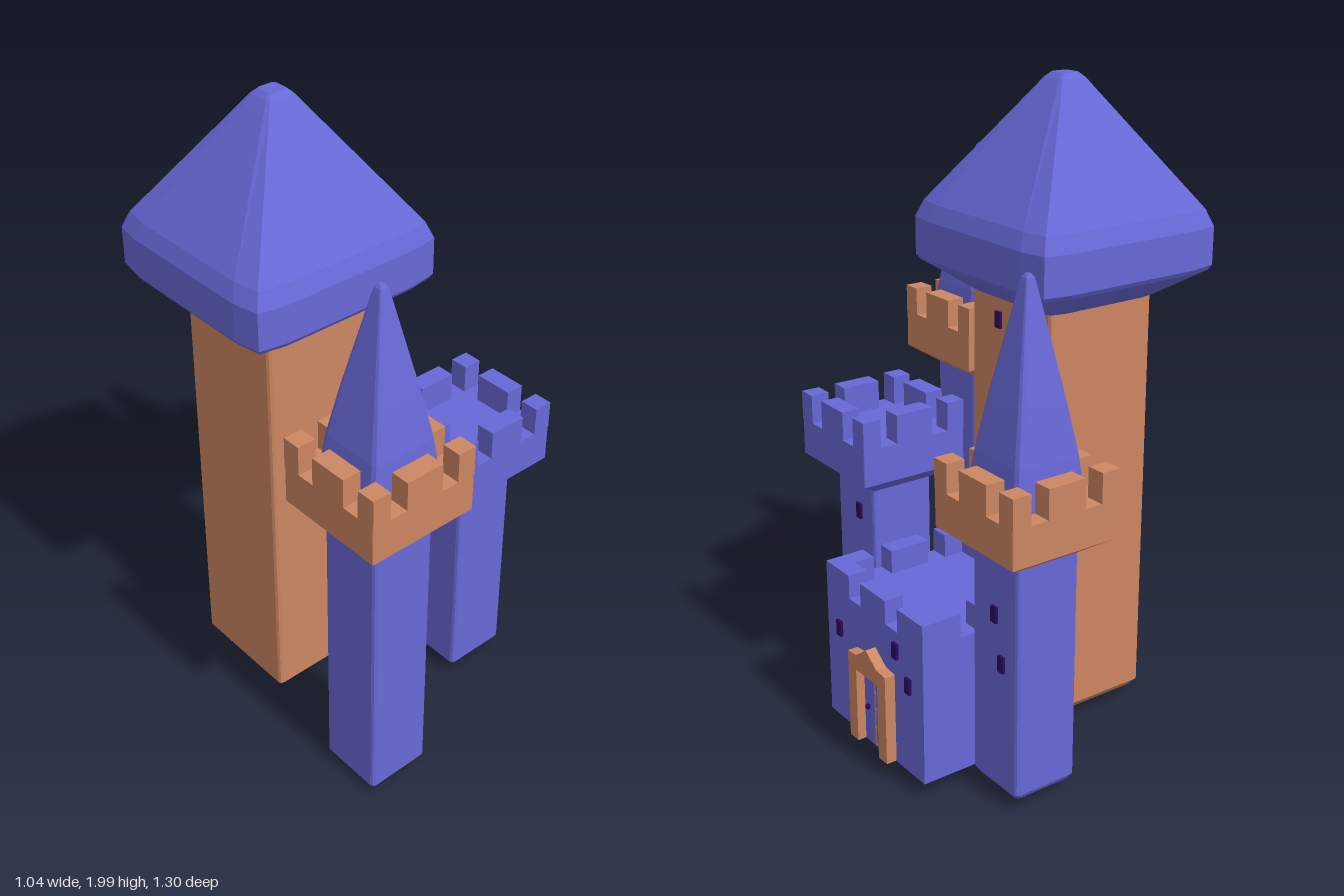
import * as THREE from 'three';

const paint = (color) => new THREE.MeshStandardMaterial({ color, flatShading: true });
const blue = paint(0x6868d8);
const orange = paint(0xcc8662);
const dark = paint(0x2a0a5c);

// Square with softened corners, lofted through rings of [y, half width, corner cut, corner pull-in]
function loft(rings) {
  const pos = [];
  const index = [];
  const n = 12;
  for (const [y, h, c = 0.012, k = c * 0.3] of rings) {
    for (let q = 0; q < 4; q++) {
      for (const [a, b] of [[h, h - c], [h - k, h - k], [h - c, h]]) {
        const [u, v] = [[a, b], [-b, a], [-a, -b], [b, -a]][q];
        pos.push(u, y, -v);
      }
    }
  }
  const last = (rings.length - 1) * n;
  for (let i = 0; i < n; i++) {
    const j = (i + 1) % n;
    for (let r = 0; r < last; r += n) {
      index.push(r + i, r + j, r + n + j, r + i, r + n + j, r + n + i);
    }
    if (i > 0 && i < n - 1) index.push(0, j, i, last, last + i, last + j);
  }
  const g = new THREE.BufferGeometry();
  g.setAttribute('position', new THREE.Float32BufferAttribute(pos, 3));
  g.setIndex(index);
  const flat = g.toNonIndexed();
  flat.computeVertexNormals();
  return flat;
}

function add(parent, name, geometry, material, x = 0, y = 0, z = 0) {
  const mesh = new THREE.Mesh(geometry, material);
  mesh.name = name;
  mesh.position.set(x, y, z);
  parent.add(mesh);
  return mesh;
}

function box(parent, name, material, w, h, d, x, y, z) {
  return add(parent, name, new THREE.BoxGeometry(w, h, d), material, x, y, z);
}

// Ring of merlons: an L at each corner and one block in the middle of each side
function battlements(parent, material, half, corner, middle, thick, y0, y1) {
  const ring = new THREE.Group();
  ring.name = 'battlements';
  parent.add(ring);
  const h = y1 - y0;
  const y = (y0 + y1) / 2;
  for (let i = 0; i < 4; i++) {
    const side = new THREE.Group();
    side.name = 'battlementSide';
    side.rotation.y = i * Math.PI / 2;
    ring.add(side);
    const z = half - thick / 2;
    box(side, 'middleMerlon', material, middle, h, thick, 0, y, z);
    box(side, 'cornerMerlon', material, corner, h, thick, half - corner / 2, y, z);
    if (corner > thick) {
      const arm = corner - thick;
      box(side, 'cornerMerlonArm', material, arm, h, thick, -half + thick + arm / 2, y, z);
    }
  }
}

// Slim tower: column, flared crown, merlons and an optional spire
function tower(root, { name, x, z, base, neck, crown, floor, top, tip, trim }) {
  const g = new THREE.Group();
  g.name = name;
  g.position.set(x, 0, z);
  root.add(g);
  add(g, 'column', loft([
    [base, 0.08], [base + 0.012, 0.094], [base + 0.03, 0.105], [neck, 0.105],
  ]), blue);
  add(g, 'crown', loft([
    [neck, 0.105, 0.004], [crown, 0.18, 0.004], [floor, 0.18, 0.004],
  ]), trim);
  battlements(g, trim, 0.18, 0.06, 0.125, 0.06, floor, top);
  if (tip) {
    const at = (t) => floor + (tip - floor) * t;
    add(g, 'spire', loft([
      [floor, 0.12, 0.02], [at(0.2), 0.106, 0.018], [at(0.45), 0.079, 0.014],
      [at(0.95), 0.019, 0.006], [at(0.985), 0.014, 0.005], [tip, 0.007, 0.003],
    ]), blue);
  }
}

export function createModel() {
  const root = new THREE.Group();
  root.name = 'castle';

  // Great tower and its broad roof
  const great = new THREE.Group();
  great.name = 'greatTower';
  great.position.set(-0.197, 0, -0.105);
  root.add(great);
  add(great, 'shaft', loft([
    [0.04, 0.145], [0.05, 0.17], [0.075, 0.19], [1.38, 0.188],
  ]), orange);
  add(great, 'roof', loft([
    [1.36, 0.2, 0.06, 0.01], [1.44, 0.315, 0.1, 0.014], [1.455, 0.325, 0.1, 0.015],
    [1.57, 0.325, 0.1, 0.015], [1.62, 0.305, 0.095, 0.014], [1.955, 0.068, 0.022, 0.006],
    [1.985, 0.046, 0.015, 0.004], [2.0, 0.03, 0.01, 0.003],
  ]), blue);

  // Three slim towers
  tower(root, { name: 'frontTower', x: -0.317, z: 0.465, base: 0.008, neck: 0.96,
    crown: 1.01, floor: 1.13, top: 1.22, tip: 1.705, trim: orange });
  tower(root, { name: 'backTower', x: 0.21, z: -0.47, base: 0.03, neck: 0.77,
    crown: 0.82, floor: 0.935, top: 1.025, tip: 1.555, trim: orange });
  tower(root, { name: 'gateTower', x: 0.21, z: 0.26, base: 0.03, neck: 0.75,
    crown: 0.805, floor: 0.92, top: 1.01, trim: blue });

  // Gatehouse
  const gate = new THREE.Group();
  gate.name = 'gatehouse';
  gate.position.set(0.225, 0, -0.102);
  root.add(gate);
  box(gate, 'walls', blue, 0.522, 0.435, 0.522, 0, 0.2725, 0);
  battlements(gate, blue, 0.261, 0.13, 0.135, 0.063, 0.49, 0.565);

  // Doorway with a gabled frame
  const door = new THREE.Group();
  door.name = 'doorway';
  door.position.set(0.484, 0, -0.112);
  door.rotation.y = Math.PI / 2;
  root.add(door);
  const frame = new THREE.Shape([
    [-0.102, 0.057], [-0.058, 0.057], [-0.058, 0.3], [0.058, 0.3], [0.058, 0.057],
    [0.102, 0.057], [0.102, 0.345], [0.055, 0.35], [0, 0.39], [-0.055, 0.35], [-0.102, 0.345],
  ].map(([x, y]) => new THREE.Vector2(x, y)));
  add(door, 'doorFrame', new THREE.ExtrudeGeometry(frame, { depth: 0.036, bevelEnabled: false }), orange);
  box(door, 'doorSeam', orange, 0.008, 0.243, 0.008, 0, 0.1785, 0.004);
  for (const s of [-1, 1]) {
    box(door, 'doorLeaf', blue, 0.053, 0.243, 0.008, s * 0.031, 0.1785, 0.004);
  }
  add(door, 'doorKnob', new THREE.SphereGeometry(0.009, 8, 6), dark, -0.034, 0.178, 0.013);

  // Windows: wall x, height, z
  const windows = [
    [0.487, 0.37, 0.085], [0.487, 0.43, -0.225], [0.487, 0.345, -0.29],
    [-0.008, 1.29, -0.052], [-0.008, 1.235, -0.21], [-0.008, 0.78, -0.145], [-0.008, 0.715, -0.072],
    [0.315, 0.66, 0.235], [0.315, 0.6, -0.472], [0.315, 0.457, -0.505],
  ];
  for (const [x, y, z] of windows) box(root, 'window', dark, 0.016, 0.05, 0.025, x, y, z);

  return root;
}
